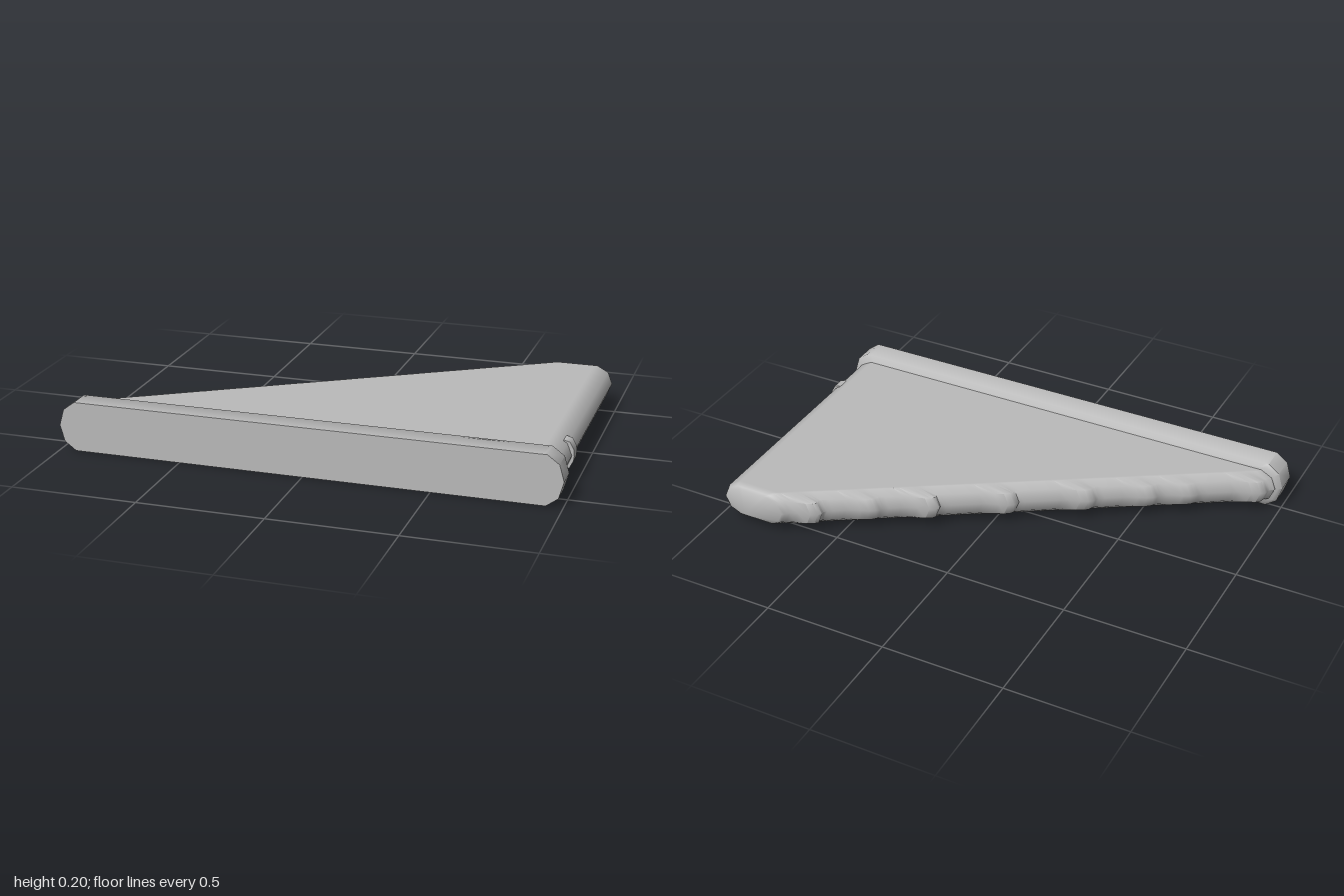
import * as THREE from 'three';
import { toCreasedNormals } from 'three/addons/utils/BufferGeometryUtils.js';

const MID = 0.1;
// rounded end of a cross-section: distance in from the edge, height as a share of the half height
const END = [[0.08, -1], [0.065, -1], [0.019, -0.66], [0, 0], [0.019, 0.66], [0.065, 1], [0.08, 1]];

// closed ring at one z; bump pushes only the rounded part of the left-hand end outwards
function section(z, x0, x1, half, bump = 0) {
  const right = END.map(([d, h]) => [x1 - d, MID + h * half, z]);
  const left = END.map(([d, h]) => [x0 + d - (Math.abs(h) < 1 ? bump : 0), MID + h * half, z]).reverse();
  return [...right, ...left];
}

// skin over rings ordered from back to front, with both ends capped
function loft(rings, crease = 0.9) {
  const n = rings[0].length, pos = rings.flat(2), idx = [];
  for (let i = 0; i < rings.length - 1; i++) {
    for (let j = 0; j < n; j++) {
      const a = i * n + j, b = i * n + (j + 1) % n;
      idx.push(a, b, b + n, a, b + n, a + n);
    }
  }
  const f = (rings.length - 1) * n;
  for (let j = 1; j < n - 1; j++) idx.push(0, j + 1, j, f, f + j, f + j + 1);
  const g = new THREE.BufferGeometry();
  g.setAttribute('position', new THREE.Float32BufferAttribute(pos, 3));
  g.setIndex(idx);
  return toCreasedNormals(g, crease);
}

export function createModel() {
  const model = new THREE.Group();
  const grey = new THREE.MeshStandardMaterial({ color: 0xbbbbbb });
  grey.name = 'grey';
  const add = (name, geometry) => {
    const mesh = new THREE.Mesh(geometry, grey);
    mesh.name = name;
    model.add(mesh);
  };

  // long bar along the front, bevelled towards the blade
  add('baseBar', loft([
    section(0.474, -0.985, 0.985, 0.085),
    section(0.488, -1, 1, 0.1),
    section(0.583, -1, 1, 0.1),
  ]));

  // tapering blade, with worn nicks along its slanted edge
  const nicks = [[0.415, 0.04], [0.27, 0.025], [0.185, 0.025], [0.05, 0.035], [-0.115, 0.035],
    [-0.28, 0.045], [-0.4, 0.025], [-0.525, 0.045]];
  const edge = z => Math.max(-0.975, -(z + 0.14) / 0.62);
  const bump = z => nicks.reduce((s, [c, h]) => {
    const t = (z - c) / (z > c ? 0.035 : 0.025);
    return s + h * Math.max(0, 1 - t * t);
  }, 0);
  const rings = [section(-0.583, 0.7, 0.96, 0.06), section(-0.575, 0.69, 0.97, 0.068)];
  const steps = 80;
  for (let i = 0; i <= steps; i++) {
    const z = -0.56 + (0.48 + 0.56) * i / steps;
    rings.push(section(z, edge(z), 0.975, 0.073, bump(z)));
  }
  add('blade', loft(rings));

  // small raised patch on the straight side
  const outer = [[0.945, 0.043], [0.967, 0.05], [0.982, 0.08], [0.984, 0.1], [0.982, 0.125], [0.967, 0.153], [0.945, 0.16]];
  const patch = z => [...outer.map(([x, y]) => [x, y, z]), [0.93, 0.15, z], [0.93, 0.05, z]];
  add('sidePatch', loft([patch(0.26), patch(0.312)]));

  return model;
}
